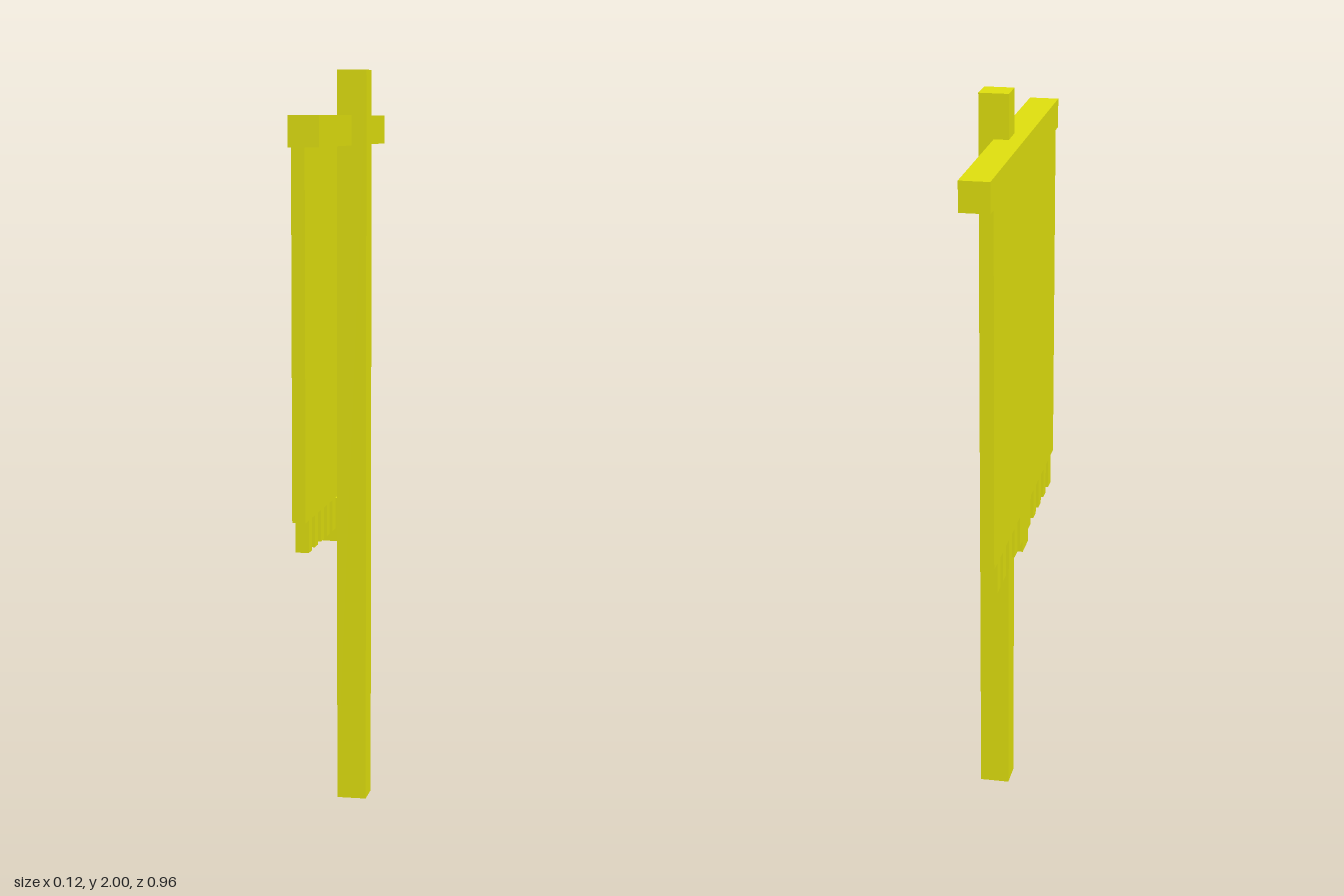
import * as THREE from 'three';

export function createModel() {
  const model = new THREE.Group();
  model.name = 'banner';
  const material = new THREE.MeshStandardMaterial({ color: 0xdddd0d, flatShading: true });

  // Box given by its minimum and maximum corners
  function box(name, [x0, y0, z0], [x1, y1, z1]) {
    const mesh = new THREE.Mesh(new THREE.BoxGeometry(x1 - x0, y1 - y0, z1 - z0), material);
    mesh.position.set((x0 + x1) / 2, (y0 + y1) / 2, (z0 + z1) / 2);
    mesh.name = name;
    model.add(mesh);
  }

  // Post and the crossbar notched into it
  box('pole', [-0.02, 0, -0.04], [0.06, 2, 0.04]);
  box('crossbar', [-0.06, 1.8, -0.48], [0.02, 1.88, 0.48]);

  // Cloth hanging behind the post
  box('cloth', [-0.06, 0.845, -0.44], [-0.025, 1.8, 0.44]);

  // Fringe: five tassels on each side and a longer one in the middle
  for (const side of [-1, 1]) {
    for (let i = 0; i < 5; i++) {
      const z = side * (0.06 + i * 0.08);
      box('tassel', [-0.06, 0.76, z - 0.02], [-0.025, 0.845, z + 0.02]);
    }
  }
  box('middleTassel', [-0.06, 0.725, -0.04], [-0.02, 0.845, 0.04]);

  return model;
}
